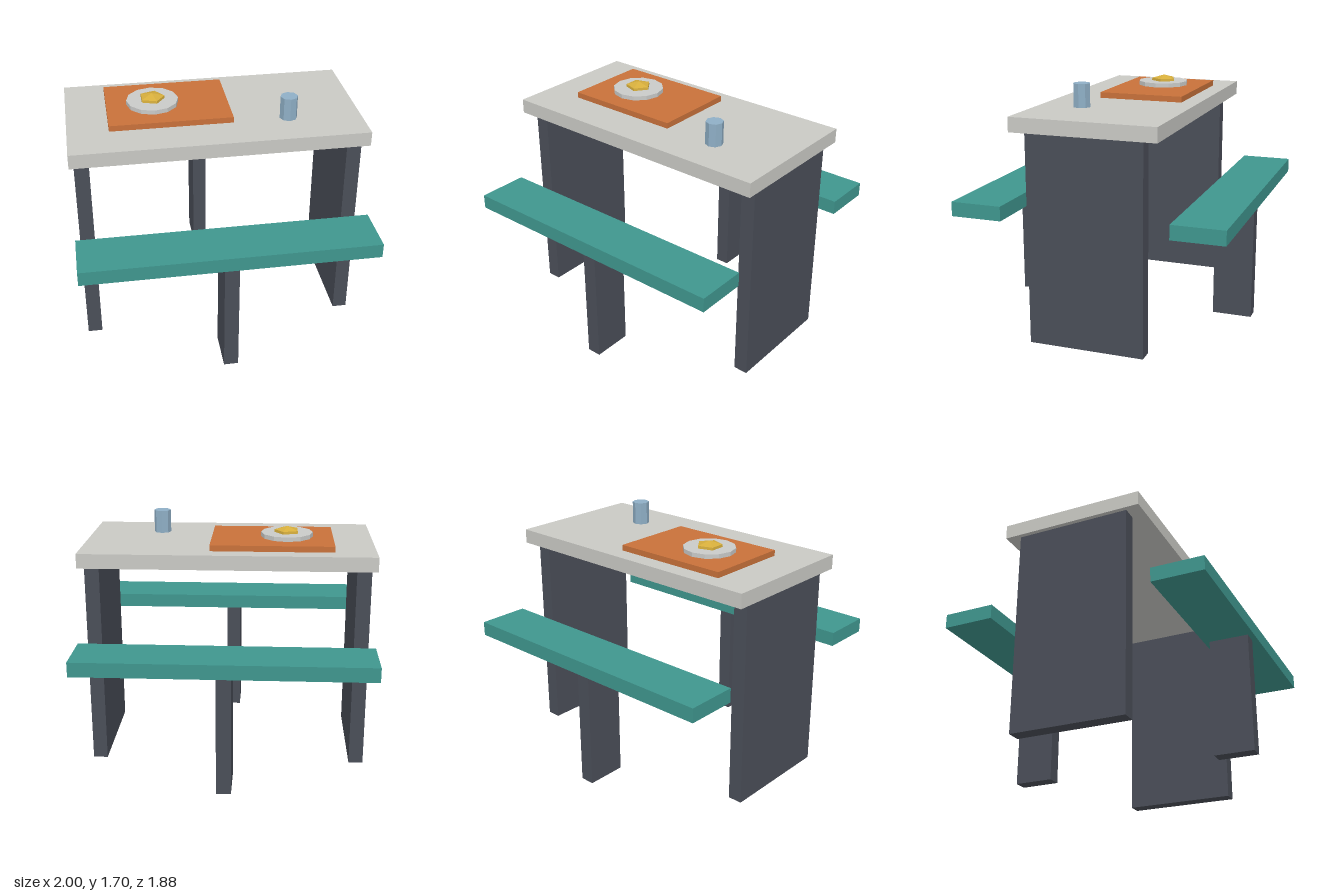
import * as THREE from 'three';

const mat = (name, color, flatShading = false) => {
  const m = new THREE.MeshStandardMaterial({ color, flatShading });
  m.name = name;
  return m;
};

export function createModel() {
  const group = new THREE.Group();
  const stone = mat('pale grey', 0xc9c9c4);
  const slate = mat('slate', 0x4a4e58);
  const teal = mat('teal', 0x3f968e);
  const orange = mat('orange', 0xc8713a);
  const blue = mat('light blue', 0x8fafc6, true);
  const gold = mat('gold', 0xd6ae3c, true);
  const plateGrey = mat('plate grey', 0xc9cac8, true);

  const add = (name, geometry, material, x, y, z) => {
    const mesh = new THREE.Mesh(geometry, material);
    mesh.name = name;
    mesh.position.set(x, y, z);
    group.add(mesh);
    return mesh;
  };
  // Box placed by its base height
  const box = (name, material, w, h, d, x, y, z) =>
    add(name, new THREE.BoxGeometry(w, h, d), material, x, y + h / 2, z);

  // Table
  box('tableTop', stone, 2, 0.1, 1, 0, 1.44, 0);
  for (const s of [-1, 1]) {
    box(s < 0 ? 'rightTableLeg' : 'leftTableLeg', slate, 0.1, 1.44, 0.8, s * 0.92, 0, 0);
  }

  // Benches, each on one central leg
  for (const s of [-1, 1]) {
    const side = s < 0 ? 'back' : 'front';
    box(side + 'BenchSeat', teal, 2, 0.1, 0.36, 0, 0.84, s * 0.76);
    box(side + 'BenchLeg', slate, 0.1, 0.84, 0.28, 0, 0, s * 0.76);
  }

  // Tableware
  box('tray', orange, 0.84, 0.04, 0.6, -0.3, 1.54, -0.08);
  add('plate', new THREE.CylinderGeometry(0.18, 0.18, 0.03, 12), plateGrey, -0.4, 1.595, -0.08);
  add('cup', new THREE.CylinderGeometry(0.06, 0.06, 0.16, 8), blue, 0.5, 1.62, 0.2);

  // Faceted food with a pointed top and one corner toward +x
  const profile = [[0, 0], [0.09, 0], [0.088, 0.018], [0, 0.042]]
    .map(([r, y]) => new THREE.Vector2(r, y));
  add('food', new THREE.LatheGeometry(profile, 5, Math.PI / 2), gold, -0.402, 1.61, -0.085);

  return group;
}
